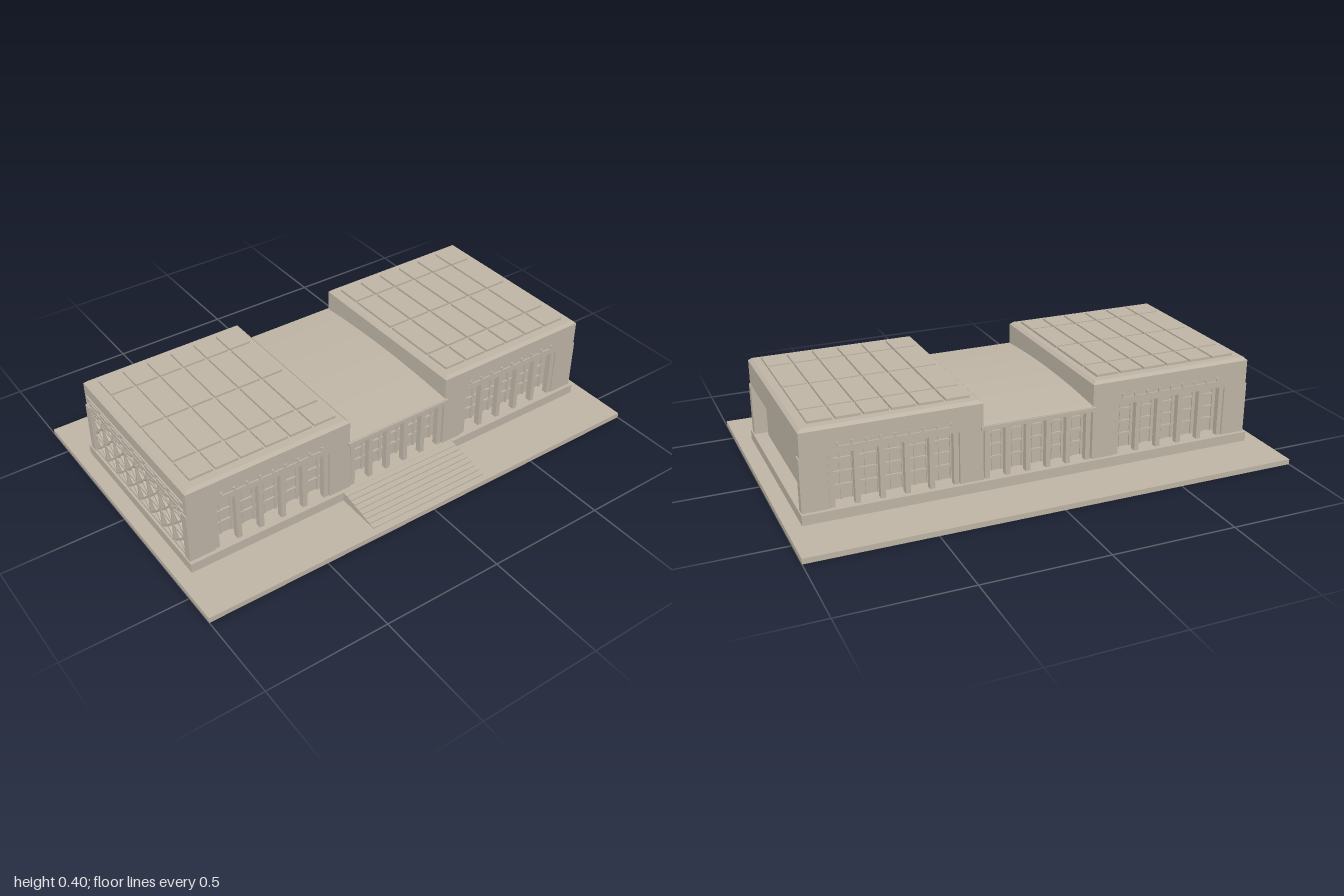
import * as THREE from 'three';

const stone = new THREE.MeshStandardMaterial({ color: 0xbfb5a6 });
stone.name = 'warm stone';

// Box given by its limits on each axis
function block(parent, name, x0, x1, y0, y1, z0, z1) {
  const mesh = new THREE.Mesh(new THREE.BoxGeometry(Math.abs(x1 - x0), y1 - y0, Math.abs(z1 - z0)), stone);
  mesh.position.set((x0 + x1) / 2, (y0 + y1) / 2, (z0 + z1) / 2);
  mesh.name = name;
  parent.add(mesh);
  return mesh;
}

function group(parent, name) {
  const g = new THREE.Group();
  g.name = name;
  parent.add(g);
  return g;
}

const FLOOR = 0.062, LINTEL = 0.275;

// Columns with the glazing bars behind them, on one long face (s = 1 front, -1 back)
function colonnade(parent, name, x0, x1, top, s) {
  const g = group(parent, name);
  const count = 6, w = 0.02, pitch = (x1 - x0 - w) / (count - 1);
  for (let i = 0; i < count; i++) {
    const x = x0 + i * pitch;
    block(g, 'column', x, x + w, FLOOR, top, s * 0.37, s * 0.395);
    block(g, 'mullion', x + 0.005, x + 0.015, FLOOR, top, s * 0.334, s * 0.342);
    if (i < count - 1) {
      block(g, 'thinMullion', x + w / 2 + pitch / 2 - 0.003, x + w / 2 + pitch / 2 + 0.003, FLOOR, top, s * 0.334, s * 0.34);
    }
  }
  for (const y of [0.115, 0.168, 0.221]) block(g, 'windowRail', x0, x1, y, y + 0.009, s * 0.334, s * 0.342);
}

// One wing; m = 1 for the +x wing, -1 for the -x wing
function wing(parent, name, m) {
  const g = group(parent, name);
  block(g, 'upperStorey', m * 0.23, m * 0.93, LINTEL, 0.375, -0.4, 0.4);

  // Cap with chamfered edges
  const cap = block(g, 'roofCap', m * 0.23, m * 0.93, 0.375, 0.387, -0.4, 0.4);
  const p = cap.geometry.attributes.position;
  for (let i = 0; i < p.count; i++) {
    if (p.getY(i) > 0) p.setXYZ(i, p.getX(i) * 0.965, p.getY(i), p.getZ(i) * 0.97);
  }
  cap.geometry.computeVertexNormals();

  // Roof slabs with narrow grooves between them
  const roof = group(g, 'roofPanels');
  const rows = [-0.36, -0.24, 0, 0.24, 0.36], cols = 6, step = 0.63 / cols, gap = 0.005;
  for (let i = 0; i < cols; i++) {
    for (let j = 0; j < rows.length - 1; j++) {
      block(roof, 'roofPanel', m * (0.26 + i * step + gap), m * (0.26 + (i + 1) * step - gap),
        0.386, 0.397, rows[j] + gap, rows[j + 1] - gap);
    }
  }

  for (const s of [1, -1]) {
    block(g, 'innerPier', m * 0.23, m * 0.325, FLOOR, LINTEL, s * 0.365, s * 0.4);
    block(g, 'cornerPier', m * 0.83, m * 0.935, FLOOR, LINTEL, s * 0.365, s * 0.4);
    const a = m > 0 ? 0.328 : -0.828;
    colonnade(g, 'wingColonnade', a, a + 0.5, LINTEL, s);

    // Fine ledge with small teeth above the windows
    block(g, 'ledge', m * 0.35, m * 0.8, 0.3, 0.305, s * 0.399, s * 0.405);
    for (let i = 0; i < 9; i++) {
      const x = 0.355 + i * 0.054;
      block(g, 'tooth', m * x, m * (x + 0.009), 0.3, 0.32, s * 0.399, s * 0.406);
    }
  }
}

// Crossed bracing on the -x end
function lattice(parent) {
  const g = group(parent, 'endLattice');
  const bays = 8, z0 = -0.365, d = 0.73 / bays, levels = [0.066, 0.145, 0.235, 0.272];
  for (const y of levels) block(g, 'latticeRail', -0.93, -0.915, y - 0.004, y + 0.004, -0.365, 0.365);
  for (let i = 0; i <= bays; i++) {
    const z = z0 + i * d;
    block(g, 'latticePost', -0.93, -0.915, FLOOR, LINTEL, z - 0.004, z + 0.004);
    if (i === bays) continue;
    for (let j = 0; j < levels.length - 1; j++) {
      const h = levels[j + 1] - levels[j], len = Math.hypot(d, h);
      for (const s of [1, -1]) {
        const brace = block(g, 'brace', -0.928, -0.917, 0, 0.008, 0, len);
        brace.position.set(-0.9225, levels[j] + h / 2, z + d / 2);
        brace.rotation.x = s * Math.atan2(h, d);
      }
    }
    // Dashes on the band above
    block(g, 'bandDash', -0.937, -0.929, 0.3, 0.314, z + 0.012, z + d - 0.012);
  }
  block(g, 'bandRail', -0.936, -0.929, 0.286, 0.292, -0.38, 0.38);
  block(g, 'bandRail', -0.936, -0.929, 0.322, 0.328, -0.38, 0.38);
}

// Middle block: colonnades, cornice and gently arched roof
function centre(parent) {
  const g = group(parent, 'centreBlock');
  for (const s of [1, -1]) {
    colonnade(g, 'centreColonnade', -0.223, 0.223, 0.268, s);
    block(g, 'centreCornice', -0.24, 0.24, 0.268, 0.284, s * 0.36, s * 0.41);
  }
  block(g, 'centreCeiling', -0.23, 0.23, 0.266, 0.282, -0.39, 0.39);
  const arch = new THREE.Shape();
  arch.moveTo(-0.405, 0.28);
  arch.lineTo(0.405, 0.28);
  arch.lineTo(0.405, 0.286);
  arch.quadraticCurveTo(0, 0.322, -0.405, 0.286);
  const geo = new THREE.ExtrudeGeometry(arch, { depth: 0.46, bevelEnabled: false, curveSegments: 24 });
  geo.rotateY(-Math.PI / 2);
  geo.translate(0.23, 0, 0);
  const roof = new THREE.Mesh(geo, stone);
  roof.name = 'archedRoof';
  g.add(roof);
}

export function createModel() {
  const model = new THREE.Group();
  model.name = 'pavilion';

  block(model, 'groundSlab', -1, 1, 0, 0.022, -0.64, 0.64);
  block(model, 'plinth', -0.94, 0.94, 0.022, FLOOR, -0.415, 0.415);
  block(model, 'core', -0.885, 0.885, FLOOR, LINTEL - 0.005, -0.335, 0.335);

  // Broad shallow steps at the front
  const stairs = group(model, 'steps');
  const count = 8, rise = 0.04 / count, run = 0.195 / count;
  for (let i = 0; i < count; i++) {
    block(stairs, 'step', -0.27, 0.27, 0.022 + i * rise, 0.022 + (i + 1) * rise - (i === count - 1 ? 0.001 : 0),
      0.41, 0.61 - i * run);
  }

  wing(model, 'leftWing', 1);
  wing(model, 'rightWing', -1);
  centre(model);
  lattice(model);
  return model;
}
